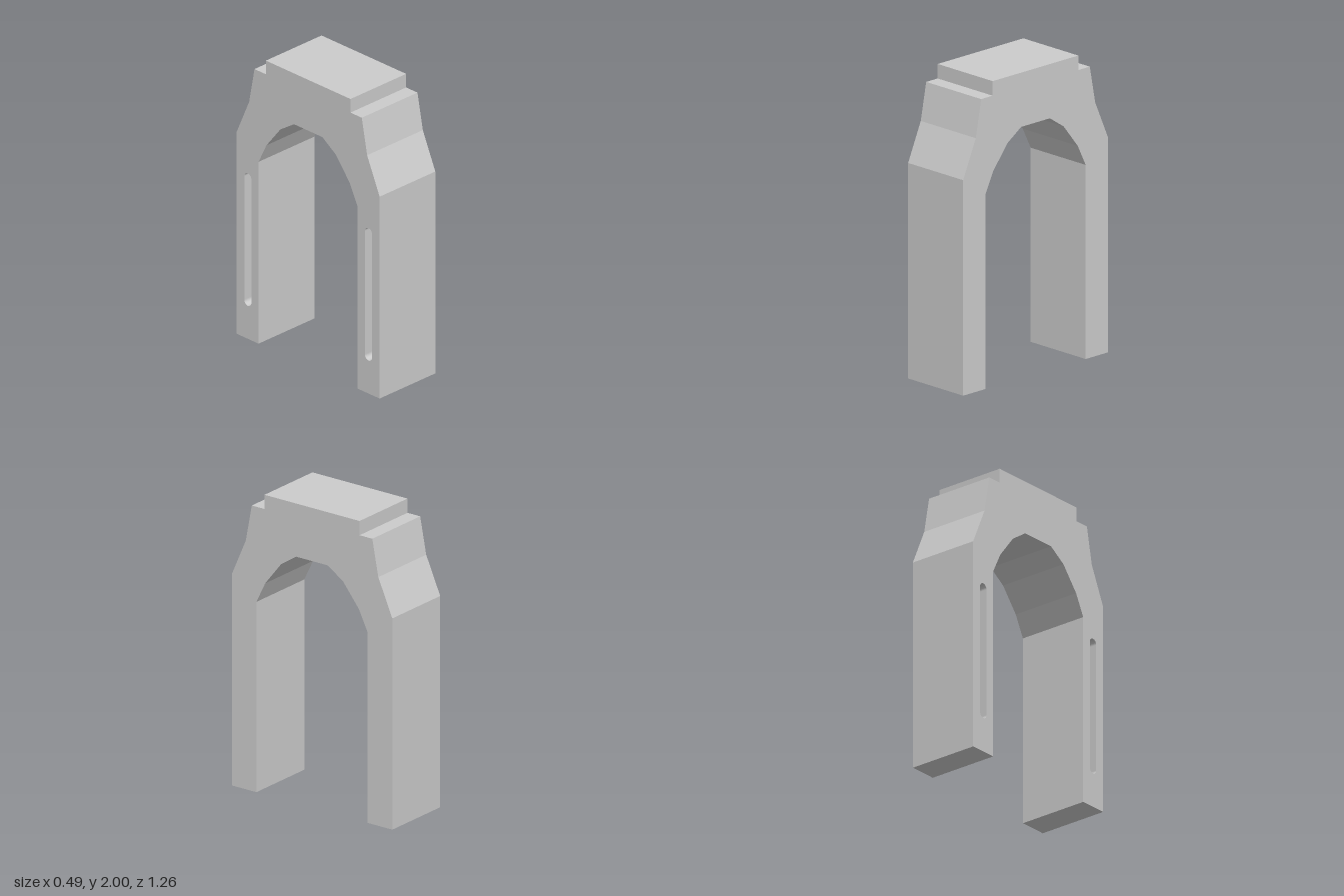
import * as THREE from 'three';

const HALF = 0.245; // half width along x
const SLOT_DEPTH = 0.1;

// Side profile (z, y), one half; mirrored to close the outline
const OUTER = [[0.63, 0], [0.63, 1.41], [0.52, 1.66], [0.473, 1.905], [0.373, 1.905], [0.373, 2]];
const INNER = [[0.125, 1.645], [0.245, 1.565], [0.368, 1.41], [0.437, 1.27], [0.437, 0]];

function archShape() {
  const mirror = (pts) => pts.map(([z, y]) => [-z, y]).reverse();
  const pts = [...OUTER, ...mirror(OUTER), ...mirror(INNER), ...INNER];
  return new THREE.Shape(pts.map(([z, y]) => new THREE.Vector2(z, y)));
}

// Vertical slot with rounded ends
function slotOutline(Type, z) {
  const r = 0.031, low = 0.23 + r, high = 1.155 - r;
  const s = new Type();
  s.moveTo(z + r, low);
  s.lineTo(z + r, high);
  s.absarc(z, high, r, 0, Math.PI, false);
  s.lineTo(z - r, low);
  s.absarc(z, low, r, Math.PI, Math.PI * 2, false);
  return s;
}

// Extrude from the slotted side inward, leaving that side open; optionally turn inside out
function openExtrude(shape, depth, inward) {
  const g = new THREE.ExtrudeGeometry(shape, { depth, bevelEnabled: false, curveSegments: 8 });
  g.rotateY(Math.PI / 2).translate(-HALF, 0, 0);
  const p = g.attributes.position;
  const out = [];
  for (let i = 0; i < p.count; i += 3) {
    const ids = inward ? [i, i + 2, i + 1] : [i, i + 1, i + 2];
    if (ids.every((k) => p.getX(k) < -HALF + 1e-4)) continue;
    for (const k of ids) out.push(p.getX(k), p.getY(k), p.getZ(k));
  }
  const res = new THREE.BufferGeometry();
  res.setAttribute('position', new THREE.Float32BufferAttribute(out, 3));
  res.computeVertexNormals();
  return res;
}

export function createModel() {
  const group = new THREE.Group();
  group.name = 'archFrame';
  const material = new THREE.MeshStandardMaterial({ color: 0xcccccc, flatShading: true });
  const add = (name, geometry) => {
    const mesh = new THREE.Mesh(geometry, material);
    mesh.name = name;
    group.add(mesh);
  };

  // Arch body with two legs and stepped top
  add('archBody', openExtrude(archShape(), HALF * 2, false));

  // Side face pierced by a slot in each leg
  const face = archShape();
  const slots = { frontSlot: 0.532, backSlot: -0.532 };
  for (const z of Object.values(slots)) face.holes.push(slotOutline(THREE.Path, z));
  add('slottedSide', new THREE.ShapeGeometry(face, 8).rotateY(-Math.PI / 2).translate(-HALF, 0, 0));

  // Slot walls and floors
  for (const [name, z] of Object.entries(slots)) {
    add(name, openExtrude(slotOutline(THREE.Shape, -z), SLOT_DEPTH, true));
  }
  return group;
}
